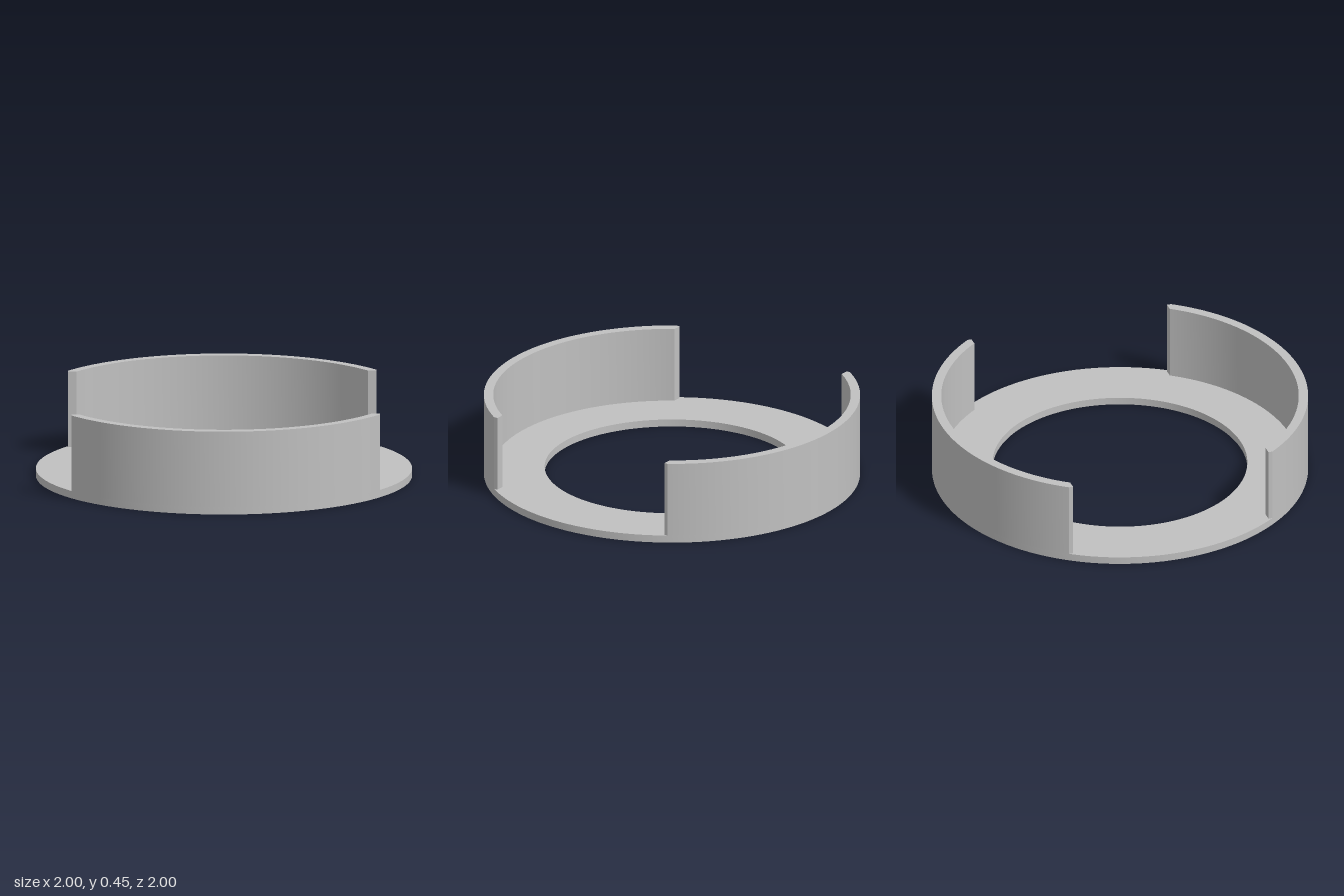
import * as THREE from 'three';
import { toCreasedNormals } from 'three/addons/utils/BufferGeometryUtils.js';

const OUTER = 1, INNER = 0.95, HOLE = 0.677;
const BASE_TOP = 0.04, WALL_TOP = 0.45;
const END_X = 0.82, END_Z = 0.55; // square-cut ends of the walls

// Extrude a plan shape upward from y0 to y1
function extrudeUp(shape, y0, y1) {
  const geo = new THREE.ExtrudeGeometry(shape, { depth: y1 - y0, bevelEnabled: false, curveSegments: 64 });
  geo.rotateX(-Math.PI / 2);
  geo.translate(0, y0, 0);
  return toCreasedNormals(geo, Math.PI / 6);
}

export function createModel() {
  const model = new THREE.Group();
  const grey = new THREE.MeshStandardMaterial({ color: 0xc0c0c0 });
  grey.name = 'grey';

  // Flat base ring
  const ring = new THREE.Shape().absarc(0, 0, OUTER, 0, Math.PI * 2, false);
  ring.holes.push(new THREE.Path().absarc(0, 0, HOLE, 0, Math.PI * 2, true));
  const base = new THREE.Mesh(extrudeUp(ring, 0, BASE_TOP), grey);
  base.name = 'baseRing';
  model.add(base);

  // Curved wall with squared ends, used at the back and turned for the front
  const outerA = Math.acos(END_X / OUTER), innerA = Math.asin(END_Z / INNER);
  const plan = new THREE.Shape();
  plan.absarc(0, 0, OUTER, outerA, Math.PI - outerA, false);
  plan.lineTo(-END_X, END_Z);
  plan.absarc(0, 0, INNER, Math.PI - innerA, innerA, true);
  plan.lineTo(END_X, END_Z);
  plan.closePath();
  const wallGeo = extrudeUp(plan, BASE_TOP, WALL_TOP);
  ['backWall', 'frontWall'].forEach((name, i) => {
    const wall = new THREE.Mesh(wallGeo, grey);
    wall.name = name;
    wall.rotation.y = i * Math.PI;
    model.add(wall);
  });

  return model;
}
